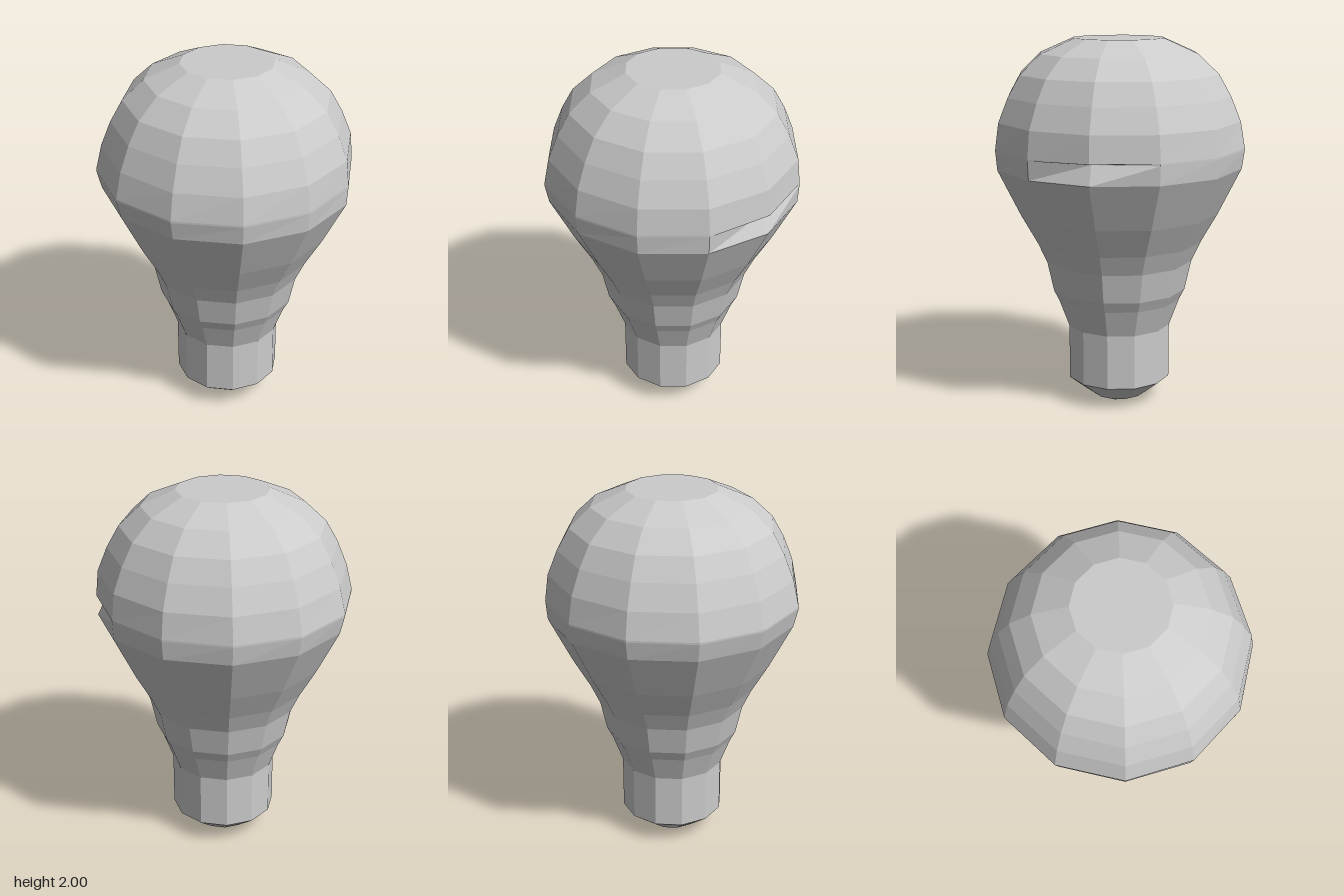
import * as THREE from 'three';

const SIDES = 12;

// Faceted skin through rings of [height, radius]; radius may be a function of the corner index.
function ringSkin(name, rings, capTop, capBottom, material) {
  const pos = [];
  const point = ([y, r], k) => {
    const i = k % SIDES, a = (i / SIDES) * Math.PI * 2;
    const rad = typeof r === 'function' ? r(i) : r;
    return [Math.sin(a) * rad + 0.004, y, Math.cos(a) * rad - 0.007];
  };
  const tri = (a, b, c) => pos.push(...a, ...b, ...c);
  for (let j = 0; j < rings.length - 1; j++) {
    for (let k = 0; k < SIDES; k++) {
      const a = point(rings[j], k), b = point(rings[j], k + 1);
      const c = point(rings[j + 1], k + 1), d = point(rings[j + 1], k);
      tri(a, b, c);
      tri(a, c, d);
    }
  }
  const first = rings[0], last = rings[rings.length - 1];
  for (let k = 0; k < SIDES; k++) {
    if (capBottom) tri([0.004, first[0], -0.007], point(first, k + 1), point(first, k));
    if (capTop) tri([0.004, last[0], -0.007], point(last, k), point(last, k + 1));
  }
  const geo = new THREE.BufferGeometry();
  geo.setAttribute('position', new THREE.Float32BufferAttribute(pos, 3));
  geo.computeVertexNormals();
  const mesh = new THREE.Mesh(geo, material);
  mesh.name = name;
  return mesh;
}

export function createModel() {
  const group = new THREE.Group();
  group.name = 'lightBulb';
  const grey = new THREE.MeshStandardMaterial({
    color: 0xcccccc, flatShading: true, side: THREE.DoubleSide,
  });

  // Slightly uneven lip around the widest part, with a small notch at the back
  const lip = (k) => 0.682 + 0.01 * Math.cos(((k + 1) / SIDES) * Math.PI * 2);
  const notch = (k) => (k === 5 ? 0.62 : lip(k));

  group.add(ringSkin('contactTip', [
    [0, 0.1], [0.02, 0.145], [0.07, 0.21], [0.13, 0.285],
  ], false, true, grey));

  group.add(ringSkin('screwBase', [[0.13, 0.285], [0.43, 0.285]], false, false, grey));

  group.add(ringSkin('bulbNeck', [
    [0.43, 0.285], [0.58, 0.34], [0.64, 0.37], [0.8, 0.405],
    [0.91, 0.455], [1.07, 0.545], [1.32, 0.668],
  ], false, false, grey));

  group.add(ringSkin('bulbDome', [
    [1.32, 0.668], [1.42, notch], [1.43, lip], [1.57, 0.658],
    [1.7, 0.605], [1.815, 0.54], [1.92, 0.428], [2, 0.245],
  ], true, false, grey));

  return group;
}
